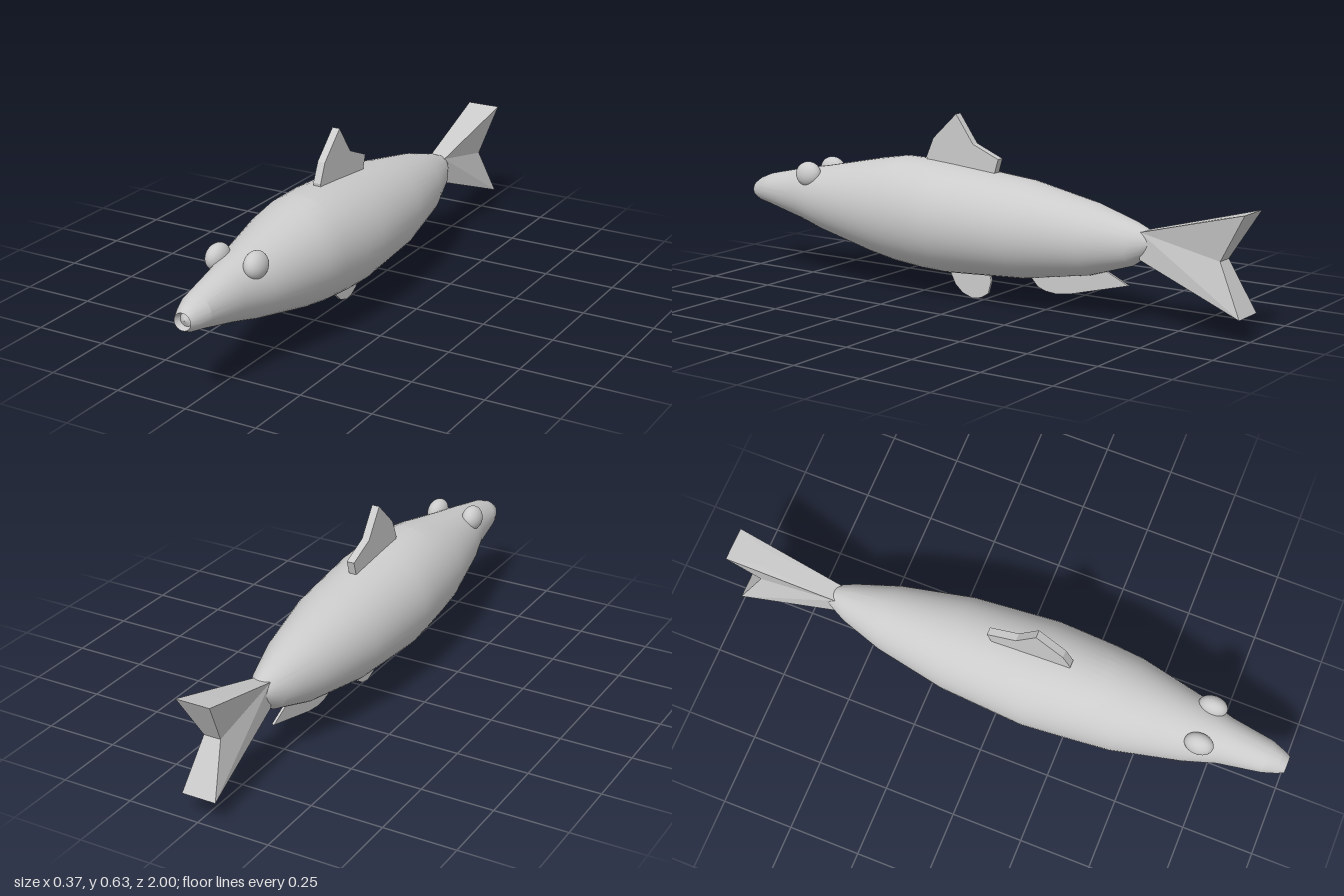
import * as THREE from 'three';
import { toCreasedNormals } from 'three/addons/utils/BufferGeometryUtils.js';

const material = new THREE.MeshStandardMaterial({ color: 0xcccccc, side: THREE.DoubleSide });

function addMesh(group, name, geometry) {
  const mesh = new THREE.Mesh(geometry, material);
  mesh.name = name;
  group.add(mesh);
  return mesh;
}

// Body rings from nose to tail: z, top y, bottom y, half width
const RINGS = [
  [0.99, 0.284, 0.282, 0.001],
  [0.98, 0.305, 0.262, 0.021],
  [1.0, 0.312, 0.255, 0.03],
  [0.975, 0.329, 0.243, 0.041],
  [0.93, 0.347, 0.235, 0.057],
  [0.78, 0.381, 0.198, 0.08],
  [0.67, 0.4, 0.168, 0.113],
  [0.43, 0.45, 0.114, 0.165],
  [0.33, 0.467, 0.096, 0.173],
  [0.21, 0.466, 0.085, 0.181],
  [0.12, 0.459, 0.083, 0.187],
  [-0.18, 0.431, 0.1, 0.165],
  [-0.43, 0.382, 0.142, 0.115],
  [-0.58, 0.338, 0.19, 0.066],
  [-0.63, 0.318, 0.225, 0.042],
  [-0.655, 0.3, 0.25, 0.028],
  [-0.655, 0.276, 0.274, 0.001],
];

function bodyGeometry(sides = 48) {
  const positions = [];
  const indices = [];
  for (const [z, top, bottom, halfWidth] of RINGS) {
    for (let j = 0; j < sides; j++) {
      const a = (j / sides) * Math.PI * 2;
      positions.push(halfWidth * Math.cos(a), (top + bottom) / 2 + ((top - bottom) / 2) * Math.sin(a), z);
    }
  }
  for (let i = 0; i < RINGS.length - 1; i++) {
    for (let j = 0; j < sides; j++) {
      const k = (j + 1) % sides;
      const a = i * sides + j, b = i * sides + k;
      indices.push(a, a + sides, b, b, a + sides, b + sides);
    }
  }
  const geometry = new THREE.BufferGeometry();
  geometry.setAttribute('position', new THREE.Float32BufferAttribute(positions, 3));
  geometry.setIndex(indices);
  return toCreasedNormals(geometry, 0.2);
}

// Flat fin from a side outline of [z, y] points
function finGeometry(points, thickness) {
  const shape = new THREE.Shape(points.map(([z, y]) => new THREE.Vector2(z, y)));
  const geometry = new THREE.ExtrudeGeometry(shape, { depth: thickness, bevelEnabled: false });
  return geometry.translate(0, 0, -thickness / 2).rotateY(-Math.PI / 2);
}

// Tail fin, thickening towards the tips of both lobes
function tailGeometry() {
  const geometry = finGeometry(
    [[-0.62, 0.31], [-0.9, 0.385], [-1, 0.41], [-0.905, 0.25], [-0.99, 0.08], [-0.62, 0.22]], 0.06);
  const p = geometry.attributes.position;
  for (let i = 0; i < p.count; i++) {
    if (p.getZ(i) < -0.95) p.setX(i, p.getX(i) * 2);
  }
  geometry.computeVertexNormals();
  return geometry;
}

export function createModel() {
  const fish = new THREE.Group();
  fish.name = 'fish';

  addMesh(fish, 'body', bodyGeometry());
  addMesh(fish, 'tailFin', tailGeometry());

  // Fins along the back and belly
  addMesh(fish, 'dorsalFin', finGeometry(
    [[0.22, 0.43], [0.228, 0.475], [0.2, 0.54], [0.105, 0.63], [0.036, 0.533], [-0.066, 0.49], [-0.045, 0.42]], 0.027));
  addMesh(fish, 'pelvicFin', finGeometry(
    [[0.14, 0.11], [0.138, 0.085], [0.115, 0.04], [0.085, 0.014], [0.045, 0], [0.01, 0.006],
      [-0.02, 0.024], [-0.033, 0.07], [-0.02, 0.11]], 0.009));
  addMesh(fish, 'analFin', finGeometry(
    [[-0.19, 0.13], [-0.19, 0.107], [-0.22, 0.075], [-0.25, 0.064], [-0.29, 0.06], [-0.35, 0.068],
      [-0.565, 0.123], [-0.475, 0.165], [-0.4, 0.155]], 0.009));

  // Bulging eyes
  for (const side of [1, -1]) {
    const eye = addMesh(fish, side > 0 ? 'leftEye' : 'rightEye', new THREE.SphereGeometry(1, 32, 20));
    eye.scale.set(0.034, 0.044, 0.05);
    eye.position.set(side * 0.07, 0.375, 0.705);
    eye.rotation.z = side * 0.15;
  }
  return fish;
}
